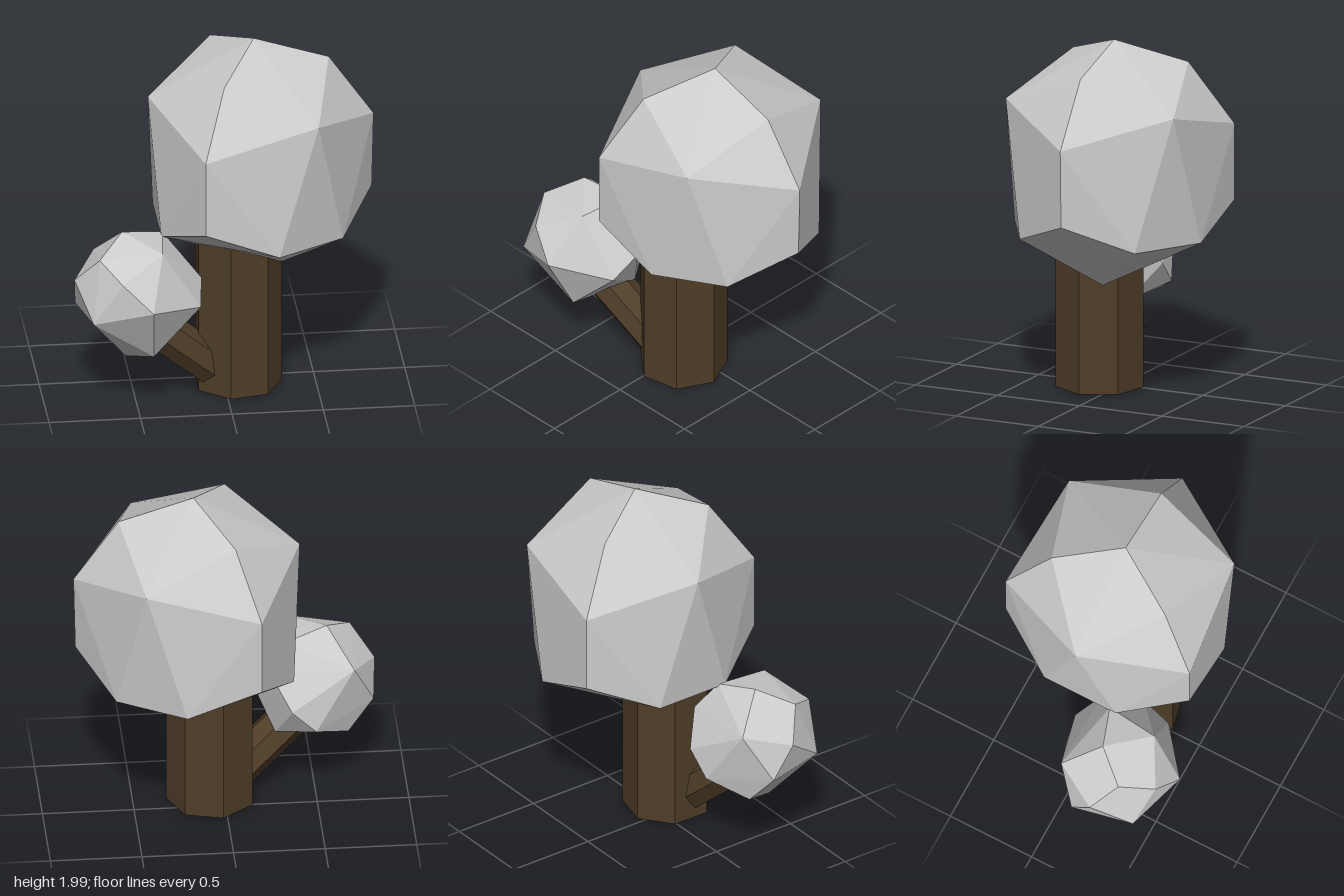
import * as THREE from 'three';
import { ConvexGeometry } from 'three/addons/geometries/ConvexGeometry.js';

const V = (x, y, z) => new THREE.Vector3(x, y, z);
const leaf = new THREE.MeshStandardMaterial({ color: 0xcccccc, flatShading: true });
const bark = new THREE.MeshStandardMaterial({ color: 0x503e28, flatShading: true });

function add(group, name, geometry, material) {
  const mesh = new THREE.Mesh(geometry, material);
  mesh.name = name;
  group.add(mesh);
  return mesh;
}

export function createModel() {
  const tree = new THREE.Group();
  tree.name = 'tree';

  // Seven-sided trunk, its top hidden inside the crown
  const trunk = add(tree, 'trunk',
    new THREE.CylinderGeometry(0.245, 0.245, 1.08, 7, 1, false, THREE.MathUtils.degToRad(-14)), bark);
  trunk.position.set(0.073, 0.56, 0.092);

  // Slanted branch from the trunk's foot to the small leaf ball
  const from = V(0, 0.09, 0.13), to = V(-0.45, 0.49, 0.25);
  const branch = add(tree, 'branch',
    new THREE.CylinderGeometry(0.115, 0.115, from.distanceTo(to), 7), bark);
  branch.position.copy(from).lerp(to, 0.5);
  branch.quaternion.setFromUnitVectors(V(0, 1, 0), to.clone().sub(from).normalize());

  // Faceted crown: corners on the mirror plane, then mirrored pairs (x, y, half-width)
  const midZ = -0.05;
  const crown = [[0.18, 2], [0.59, 1.87], [-0.4, 1.68], [0.835, 1.52], [0.825, 1.09], [0.32, 0.65]]
    .map(([x, y]) => V(x, y, midZ));
  for (const [x, y, w] of [
    [-0.02, 1.87, 0.35], [0.48, 1.68, 0.51], [-0.145, 1.52, 0.567], [-0.145, 1.09, 0.567],
    [0.26, 0.94, 0.567], [0.63, 0.94, 0.35], [-0.35, 0.94, 0.22],
  ]) crown.push(V(x, y, midZ + w), V(x, y, midZ - w));
  add(tree, 'crown', new ConvexGeometry(crown), leaf);

  // Small leaf ball: directions pushed out to one radius
  const centre = V(-0.49, 0.65, 0.26);
  const ball = [
    [-8, 35, -5], [-22, 26, 12], [-11, 18, 29], [12, 30, 16], [15, 30, -13],
    [5, 3, 35], [-26, -7, 23], [-35, 10, 1], [-22, 17, -24], [-33, -9, -11],
    [7, -30, 18], [-7, -35, 5], [-19, -26, -17], [0, -16, -32], [13, -3, -33],
    [24, 15, -23], [35, 6, -3], [34, -4, 14], [21, -25, -15],
  ].map((d) => V(...d).setLength(0.36).add(centre));
  add(tree, 'leafBall', new ConvexGeometry(ball), leaf);

  return tree;
}
